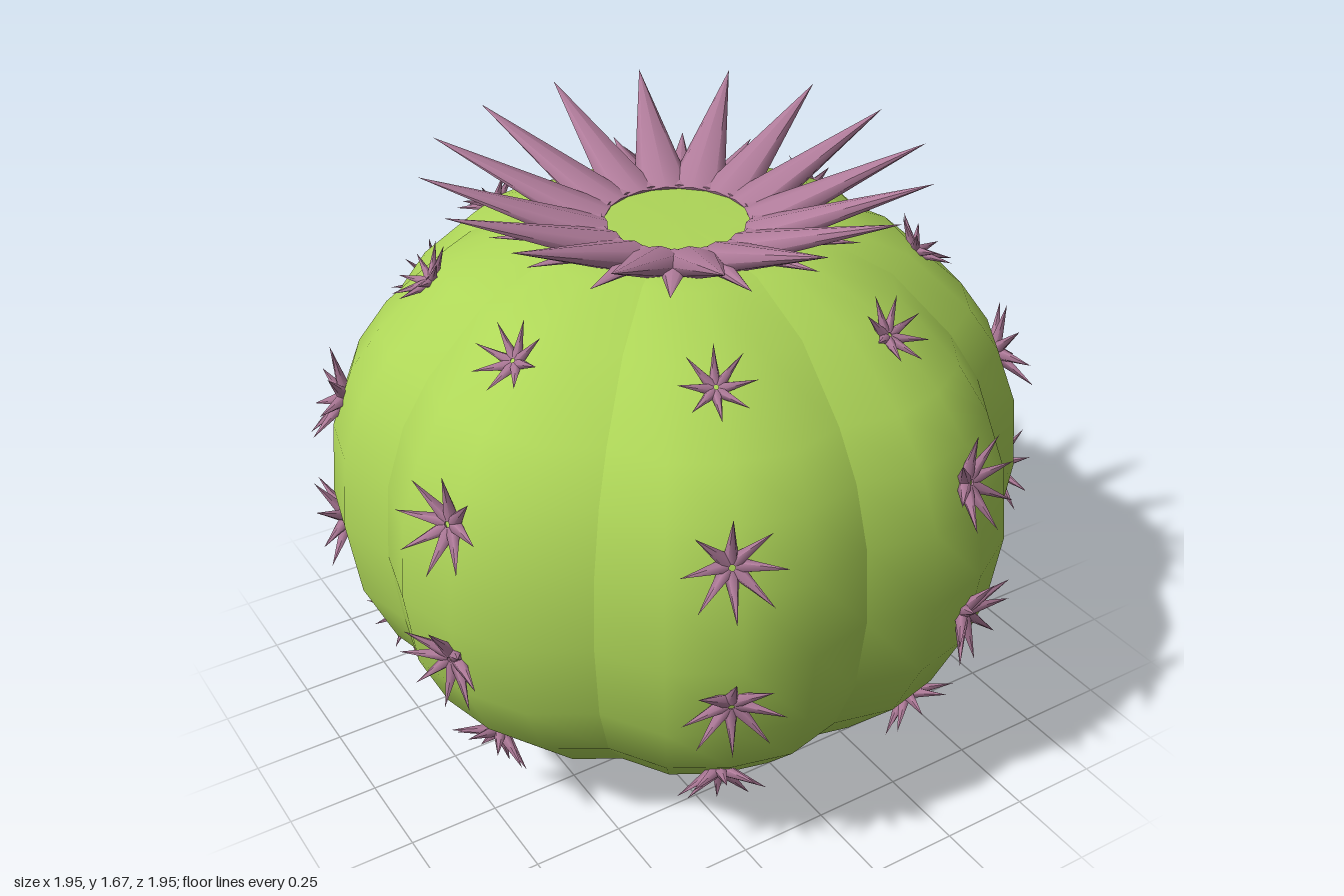
import * as THREE from 'three';
import { mergeGeometries } from 'three/addons/utils/BufferGeometryUtils.js';

const LOBES = 8;
const LOBE_ANGLE = (Math.PI * 2) / LOBES;

// Side outline of a rib: [radius, height]
const SIDE = [
  [0.347, 0], [0.51, 0.07], [0.69, 0.2], [0.84, 0.36], [0.92, 0.54], [0.95, 0.76],
  [0.93, 0.97], [0.87, 1.13], [0.785, 1.25], [0.61, 1.41], [0.4, 1.495], [0.24, 1.505], [0, 1.505],
];
const BASE = [[0, 0], [0.347, 0]];
// Radius factor across one rib, from valley to valley
const BULGE = [0.935, 1, 1.01, 1, 0.935];

// One rib swept through a profile; valleys stay sharp because ribs share no vertices
function ribGeometry(profile) {
  const positions = [], index = [], n = BULGE.length;
  profile.forEach(([r, y]) => BULGE.forEach((f, j) => {
    const a = (j / (n - 1)) * LOBE_ANGLE;
    positions.push(r * f * Math.sin(a), y, r * f * Math.cos(a));
  }));
  for (let i = 0; i < profile.length - 1; i++) {
    for (let j = 0; j < n - 1; j++) {
      const a = i * n + j, b = a + 1, c = b + n, d = a + n;
      if (profile[i][0] > 0) index.push(a, b, d);
      if (profile[i + 1][0] > 0) index.push(b, c, d);
      else if (profile[i][0] === 0) index.push(a, c, d);
    }
  }
  // Rows starting on the axis need the outer triangle as well
  const g = new THREE.BufferGeometry();
  g.setAttribute('position', new THREE.Float32BufferAttribute(positions, 3));
  g.setIndex(index);
  g.computeVertexNormals();
  return g;
}

// Ring of pointed spikes around +y, leaning outward by lean (measured from +y)
function burst(count, { inner, y = 0, radius, length, lean, sides, flat = 1, turn = 0 }) {
  const spikes = [];
  for (let k = 0; k < count; k++) {
    const g = new THREE.ConeGeometry(radius, length, sides);
    g.translate(0, length / 2, 0);
    g.scale(1, 1, flat);
    g.rotateX(lean);
    g.translate(0, y, inner);
    g.rotateY(((k + turn) / count) * Math.PI * 2);
    spikes.push(g);
  }
  return mergeGeometries(spikes);
}

export function createModel() {
  const model = new THREE.Group();
  const green = new THREE.MeshStandardMaterial({ color: 0xaed658 });
  const pink = new THREE.MeshStandardMaterial({ color: 0xb27d9c });

  const add = (parent, name, geometry, material) => {
    const mesh = new THREE.Mesh(geometry, material);
    mesh.name = name;
    parent.add(mesh);
    return mesh;
  };

  // Ribbed body with a flat underside
  const body = new THREE.Group();
  body.name = 'body';
  model.add(body);
  const rib = ribGeometry(SIDE);
  const underside = ribGeometry(BASE);
  for (let k = 0; k < LOBES; k++) {
    add(body, 'rib', rib, green).rotation.y = k * LOBE_ANGLE;
    add(body, 'underside', underside, green).rotation.y = k * LOBE_ANGLE;
  }

  // Flower crown: long raised petals with short low ones between
  const crown = new THREE.Group();
  crown.name = 'flowerCrown';
  model.add(crown);
  add(crown, 'longPetals', burst(16, {
    inner: 0.2, y: 1.475, radius: 0.085, length: 0.5, lean: 1.17, sides: 8, flat: 0.5,
  }), pink);
  add(crown, 'shortPetals', burst(16, {
    inner: 0.2, y: 1.49, radius: 0.05, length: 0.31, lean: 1.42, sides: 8, flat: 0.5, turn: 0.5,
  }), pink);

  // Spine clusters in four rows down the middle of each rib
  const spines = new THREE.Group();
  spines.name = 'spineClusters';
  model.add(spines);
  const star = burst(8, { inner: 0.015, radius: 0.02, length: 0.13, lean: 1.08, sides: 5 });
  const rows = [ // radius, height, upward tilt in degrees, scale
    [0.65, 1.37, 48, 0.75], [0.905, 1.04, 18, 1], [0.935, 0.65, -8, 1], [0.79, 0.3, -40, 0.9],
  ];
  for (let k = 0; k < LOBES; k++) {
    const a = (k + 0.5) * LOBE_ANGLE - 0.025;
    for (const [r, y, tilt, scale] of rows) {
      const cluster = add(spines, 'spineCluster', star, pink);
      cluster.position.set(r * Math.sin(a), y, r * Math.cos(a));
      cluster.rotation.set(Math.PI / 2 - THREE.MathUtils.degToRad(tilt), a, 0, 'YXZ');
      cluster.scale.setScalar(scale);
    }
  }
  return model;
}
